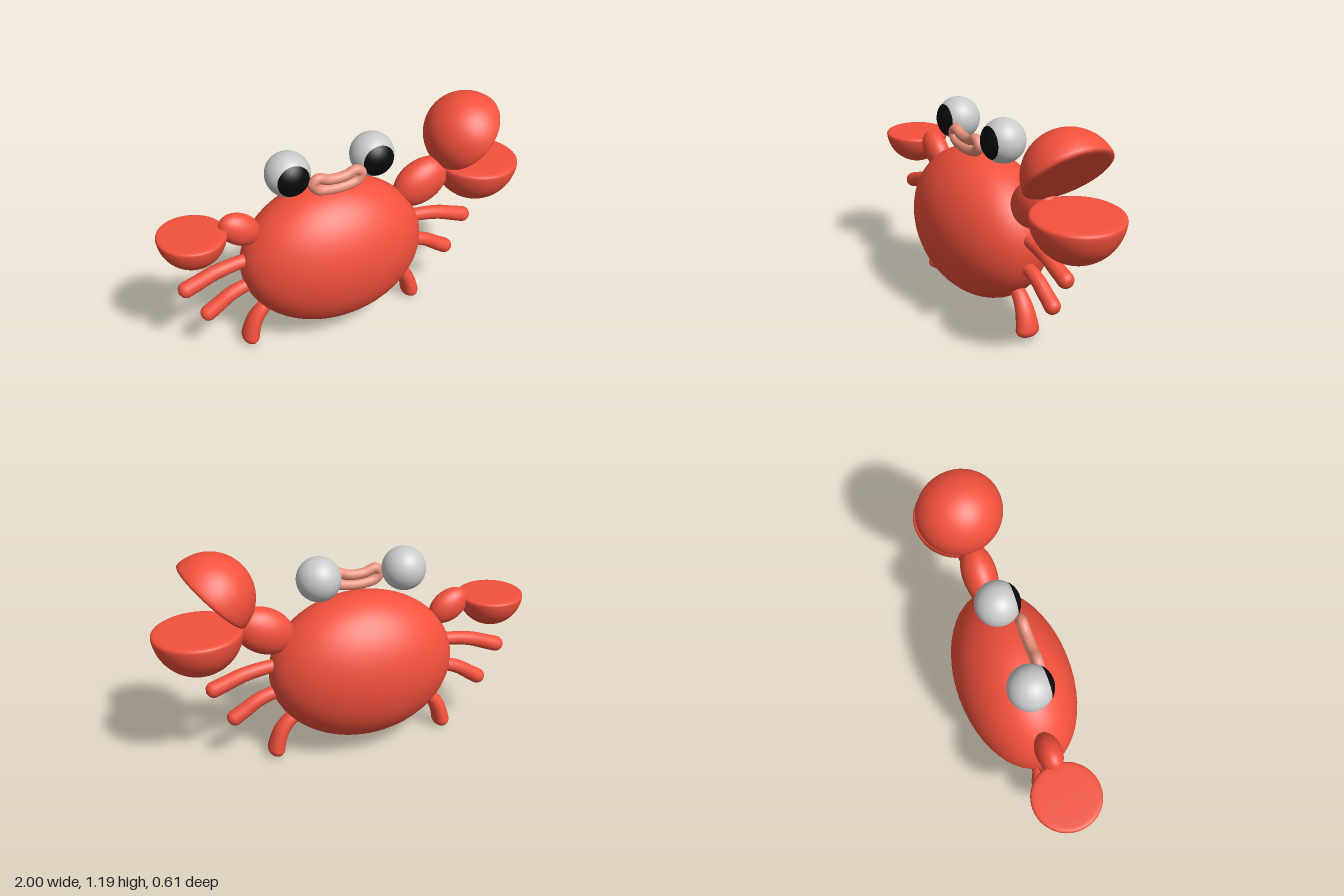
import * as THREE from 'three';
import { mergeVertices } from 'three/addons/utils/BufferGeometryUtils.js';

const CX = -0.09; // mirror plane of the body

export function createModel() {
  const crab = new THREE.Group();
  crab.name = 'crab';
  const mat = (color) => new THREE.MeshStandardMaterial({ color });
  const red = mat(0xf4513c), pink = mat(0xe9917d), grey = mat(0xcccccc), black = mat(0x0a0a0a);

  const add = (name, geometry, material, x = 0, y = 0, z = 0) => {
    const mesh = new THREE.Mesh(geometry, material);
    mesh.name = name;
    mesh.position.set(x, y, z);
    crab.add(mesh);
    return mesh;
  };

  const ellipsoid = (name, x, y, rx, ry, rz, tilt = 0) => {
    const mesh = add(name, new THREE.SphereGeometry(1, 48, 32), red, x, y);
    mesh.scale.set(rx, ry, rz);
    mesh.rotation.z = tilt;
    return mesh;
  };

  // Tapered limb along a curve with a rounded tip; zScale stretches it in depth
  const limb = (points, r0, r1, zScale) => {
    const curve = new THREE.CatmullRomCurve3(points.map(([x, y]) => new THREE.Vector3(x, y, 0)));
    const rings = 48, sides = 20;
    const capStart = 1 - r1 / curve.getLength();
    const geo = new THREE.TubeGeometry(curve, rings, 1, sides);
    const pos = geo.attributes.position, v = new THREE.Vector3();
    for (let i = 0; i <= rings; i++) {
      const t = i / rings, c = curve.getPointAt(t);
      const k = Math.max(0, (t - capStart) / (1 - capStart));
      const r = THREE.MathUtils.lerp(r0, r1, t) * Math.sqrt(Math.max(0, 1 - k * k));
      const zr = 1 + (zScale - 1) * t;
      for (let j = 0; j <= sides; j++) {
        const n = i * (sides + 1) + j;
        v.fromBufferAttribute(pos, n).sub(c).multiplyScalar(r);
        pos.setXYZ(n, c.x + v.x, c.y + v.y, v.z * zr);
      }
    }
    geo.deleteAttribute('normal');
    geo.deleteAttribute('uv');
    const smooth = mergeVertices(geo, 1e-5);
    smooth.computeVertexNormals();
    return smooth;
  };

  // Half-ball pincer: bowl below, flat face with a softened rim on top
  const pincerProfile = [];
  for (let i = 0; i <= 22; i++) {
    const a = (i / 22) * (Math.PI / 2 - 0.08);
    pincerProfile.push(new THREE.Vector2(Math.sin(a), -Math.cos(a)));
  }
  for (const [x, y] of [[0.985, -0.035], [0.95, -0.012], [0.87, 0], [0.6, 0], [0, 0]])
    pincerProfile.push(new THREE.Vector2(x, y));
  const pincerGeo = new THREE.LatheGeometry(pincerProfile, 48);
  const pincer = (name, x, y, z, r, depth, rz, tilt) => {
    const mesh = add(name, pincerGeo, red, x, y, z);
    mesh.scale.set(r, depth, rz);
    mesh.rotation.z = tilt;
  };

  // Body
  ellipsoid('body', CX, 0.48, 0.5, 0.402, 0.306);

  // Claws: small one on the right, large open one on the left
  ellipsoid('rightArm', -0.585, 0.74, 0.118, 0.083, 0.066, -0.6);
  pincer('rightPincer', -0.828, 0.785, -0.003, 0.173, 0.177, 0.175, -0.02);
  ellipsoid('leftArm', 0.43, 0.75, 0.165, 0.12, 0.092, 0.5);
  pincer('leftLowerPincer', 0.77, 0.815, -0.011, 0.229, 0.235, 0.228, -0.04);
  pincer('leftUpperPincer', 0.697, 0.972, -0.011, 0.222, 0.226, 0.228, Math.PI + 0.82);

  // Legs: three mirrored pairs, points are offsets from the mirror plane
  const legs = [
    { name: 'upperLeg', pts: [[0.44, 0.545], [0.52, 0.54], [0.64, 0.518], [0.74, 0.482], [0.835, 0.447]], r: [0.034, 0.043], z: 1 },
    { name: 'middleLeg', pts: [[0.44, 0.395], [0.5, 0.383], [0.57, 0.357], [0.64, 0.312], [0.73, 0.255]], r: [0.034, 0.043], z: 1 },
    { name: 'lowerLeg', pts: [[0.36, 0.235], [0.405, 0.205], [0.445, 0.155], [0.47, 0.09], [0.487, 0.006]], r: [0.036, 0.048], z: 1.5 },
  ];
  for (const { name, pts, r, z } of legs)
    for (const [side, s] of [['left', 1], ['right', -1]])
      add(`${side} ${name}`, limb(pts.map(([x, y]) => [CX + s * x, y]), r[0], r[1], z), red);

  // Eyes with pupils as caps on the front of each ball
  const pupilGeo = new THREE.SphereGeometry(0.1165, 40, 16, 0, Math.PI * 2, 0, 0.81).rotateX(Math.PI / 2);
  for (const [side, s] of [['left', 1], ['right', -1]]) {
    const x = CX + s * 0.23;
    add(`${side} eye`, new THREE.SphereGeometry(0.115, 40, 28), grey, x, 0.99, -0.002);
    add(`${side} pupil`, pupilGeo, black, x, 0.99, -0.002);
  }

  // Lips: one closed, smiling loop
  const half = [[0.05, 0.957], [0.105, 0.975], [0.132, 0.95], [0.108, 0.915], [0.05, 0.9]];
  const loop = [[0, 0.952], ...half, [0, 0.897], ...half.map(([x, y]) => [-x, y]).reverse()];
  const lipCurve = new THREE.CatmullRomCurve3(
    loop.map(([x, y]) => new THREE.Vector3(CX + x, y, 0.082)), true);
  add('lips', new THREE.TubeGeometry(lipCurve, 96, 0.027, 16, true), pink);

  return crab;
}
